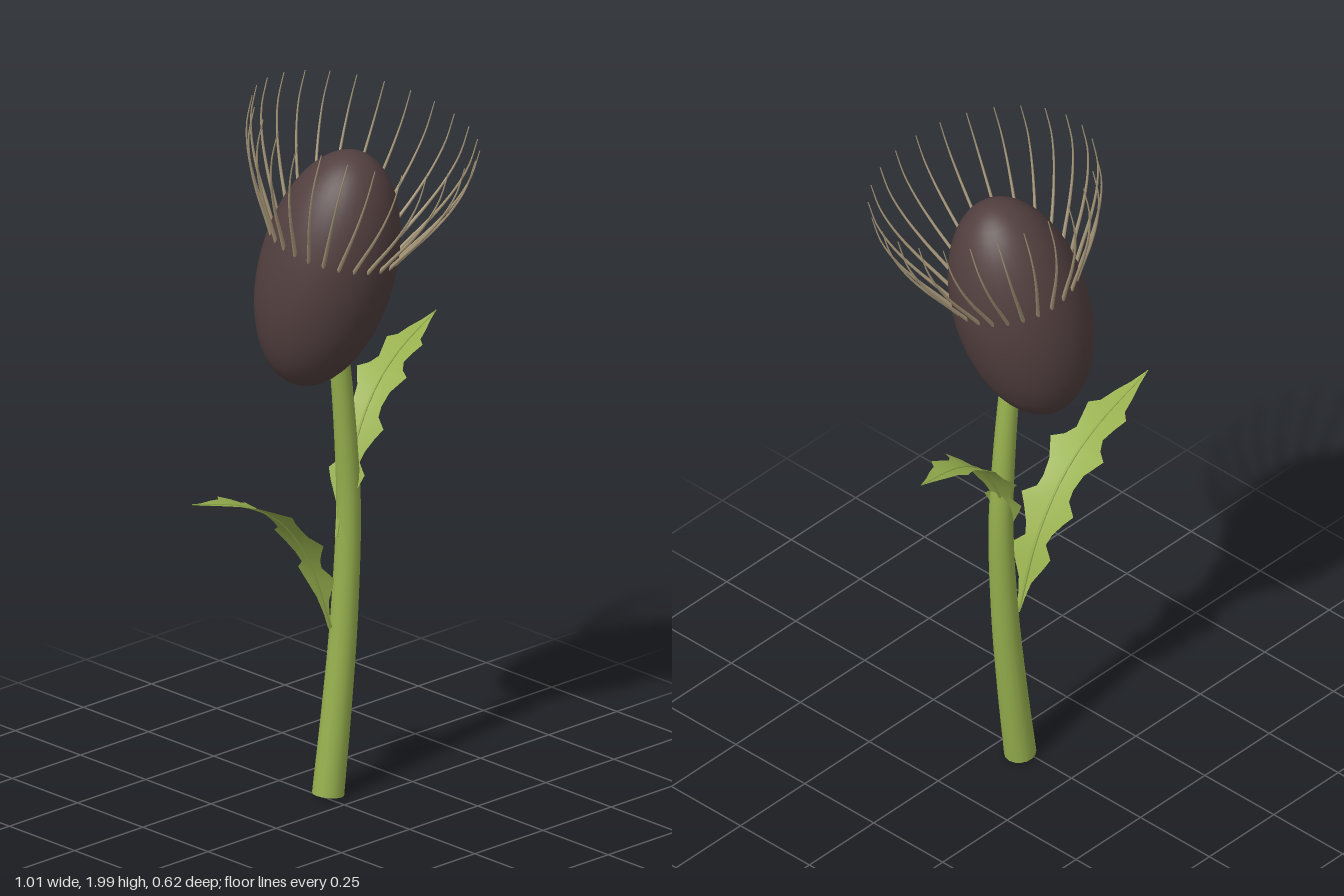
import * as THREE from 'three';

const V = (x, y, z) => new THREE.Vector3(x, y, z);

// Tube whose radius runs from r0 to r1 along the curve
function taperedTube(curve, r0, r1, segments, sides) {
  const geo = new THREE.TubeGeometry(curve, segments, 1, sides);
  const pos = geo.attributes.position;
  const p = V(0, 0, 0);
  for (let i = 0; i < pos.count; i++) {
    const t = Math.floor(i / (sides + 1)) / segments;
    const centre = curve.getPointAt(t);
    p.fromBufferAttribute(pos, i).sub(centre)
      .multiplyScalar(r0 + (r1 - r0) * t).add(centre);
    pos.setXYZ(i, p.x, p.y, p.z);
  }
  return geo;
}

// Half-widths of the toothed leaf: [position along the leaf, half-width]
const LEAF_EDGE = [
  [0, 0.006], [0.06, 0.012], [0.12, 0.022], [0.19, 0.052], [0.23, 0.066], [0.27, 0.036],
  [0.31, 0.045], [0.36, 0.068], [0.4, 0.09], [0.44, 0.056], [0.48, 0.052], [0.54, 0.06],
  [0.61, 0.092], [0.64, 0.062], [0.68, 0.046], [0.73, 0.055], [0.78, 0.066], [0.81, 0.042],
  [0.87, 0.03], [0.93, 0.014], [1, 0.001],
];

// Arching leaf running out along +x from its base
function makeLeaf(name, leafMat, ribMat) {
  const leaf = new THREE.Group();
  leaf.name = name;
  const spine = new THREE.CatmullRomCurve3([
    V(0, 0, 0), V(0.08, 0.205, 0), V(0.19, 0.35, 0), V(0.32, 0.43, 0), V(0.53, 0.495, 0),
  ]);
  const rows = LEAF_EDGE.length;
  const geo = new THREE.PlaneGeometry(1, 1, rows - 1, 2);
  const pos = geo.attributes.position;
  for (let i = 0; i < pos.count; i++) {
    const [s, width] = LEAF_EDGE[i % rows];
    const side = Math.floor(i / rows) - 1;
    const p = spine.getPointAt(s);
    const t = spine.getTangentAt(s);
    const lift = Math.abs(side) * width * 0.12; // shallow fold along the midrib
    pos.setXYZ(i, p.x - t.y * lift, p.y + t.x * lift, side * width);
  }
  geo.computeVertexNormals();
  const blade = new THREE.Mesh(geo, leafMat);
  blade.name = 'leafBlade';
  const rib = new THREE.Mesh(taperedTube(spine, 0.006, 0.002, 24, 6), ribMat);
  rib.name = 'leafMidrib';
  leaf.add(blade, rib);
  return leaf;
}

export function createModel() {
  const model = new THREE.Group();
  model.name = 'thistleFlower';

  const stemMat = new THREE.MeshStandardMaterial({ color: 0x97b04e });
  stemMat.name = 'stem green';
  const leafMat = new THREE.MeshStandardMaterial({ color: 0x97b04e, side: THREE.DoubleSide });
  leafMat.name = 'leaf green';
  const headMat = new THREE.MeshStandardMaterial({ color: 0x523f3f });
  headMat.name = 'dark brown';
  const bristleMat = new THREE.MeshStandardMaterial({ color: 0xa8987a });
  bristleMat.name = 'dry tan';

  // Bowed stem with a flat cut end
  const stemCurve = new THREE.CatmullRomCurve3([
    V(0.015, 0.008, -0.078), V(0.047, 0.25, -0.078), V(0.073, 0.5, -0.077),
    V(0.088, 0.8, -0.076), V(0.077, 1.0, -0.075), V(0.057, 1.2, -0.074), V(0.046, 1.28, -0.074),
  ]);
  const stem = new THREE.Mesh(taperedTube(stemCurve, 0.043, 0.027, 40, 16), stemMat);
  stem.name = 'stem';
  const cut = new THREE.Mesh(new THREE.CircleGeometry(0.043, 16), stemMat);
  cut.name = 'stemEnd';
  cut.position.copy(stemCurve.getPointAt(0));
  cut.quaternion.setFromUnitVectors(V(0, 0, 1), stemCurve.getTangentAt(0).negate());
  model.add(stem, cut);

  // Two leaves on opposite sides
  const lowerLeaf = makeLeaf('rightLeaf', leafMat, stemMat);
  lowerLeaf.position.set(0.02, 0.48, -0.075);
  lowerLeaf.rotation.y = Math.PI + 0.045;
  const upperLeaf = makeLeaf('leftLeaf', leafMat, stemMat);
  upperLeaf.position.set(0.045, 0.73, -0.077);
  upperLeaf.rotation.y = 0.21;
  upperLeaf.scale.set(0.885, 1, 0.87);
  model.add(lowerLeaf, upperLeaf);

  // Tilted flower head
  const flower = new THREE.Group();
  flower.name = 'flowerHead';
  flower.position.set(0.014, 1.502, -0.08);
  flower.quaternion.setFromUnitVectors(V(0, 1, 0), V(0.145, 0.97, 0.195).normalize());
  const bulb = new THREE.Mesh(new THREE.SphereGeometry(1, 40, 28), headMat);
  bulb.name = 'seedHead';
  bulb.scale.set(0.182, 0.34, 0.182);
  flower.add(bulb);

  // Ring of curved bristles
  const bristleCurve = new THREE.CatmullRomCurve3([
    V(0.165, 0.055, 0), V(0.203, 0.12, 0), V(0.243, 0.187, 0),
    V(0.283, 0.27, 0), V(0.306, 0.348, 0), V(0.311, 0.43, 0),
  ]);
  const bristleGeo = taperedTube(bristleCurve, 0.0058, 0.0015, 16, 6);
  const count = 26;
  for (let i = 0; i < count; i++) {
    const bristle = new THREE.Mesh(bristleGeo, bristleMat);
    bristle.name = 'bristle';
    bristle.rotation.y = (i / count) * Math.PI * 2 - 0.075;
    flower.add(bristle);
  }
  model.add(flower);

  return model;
}
